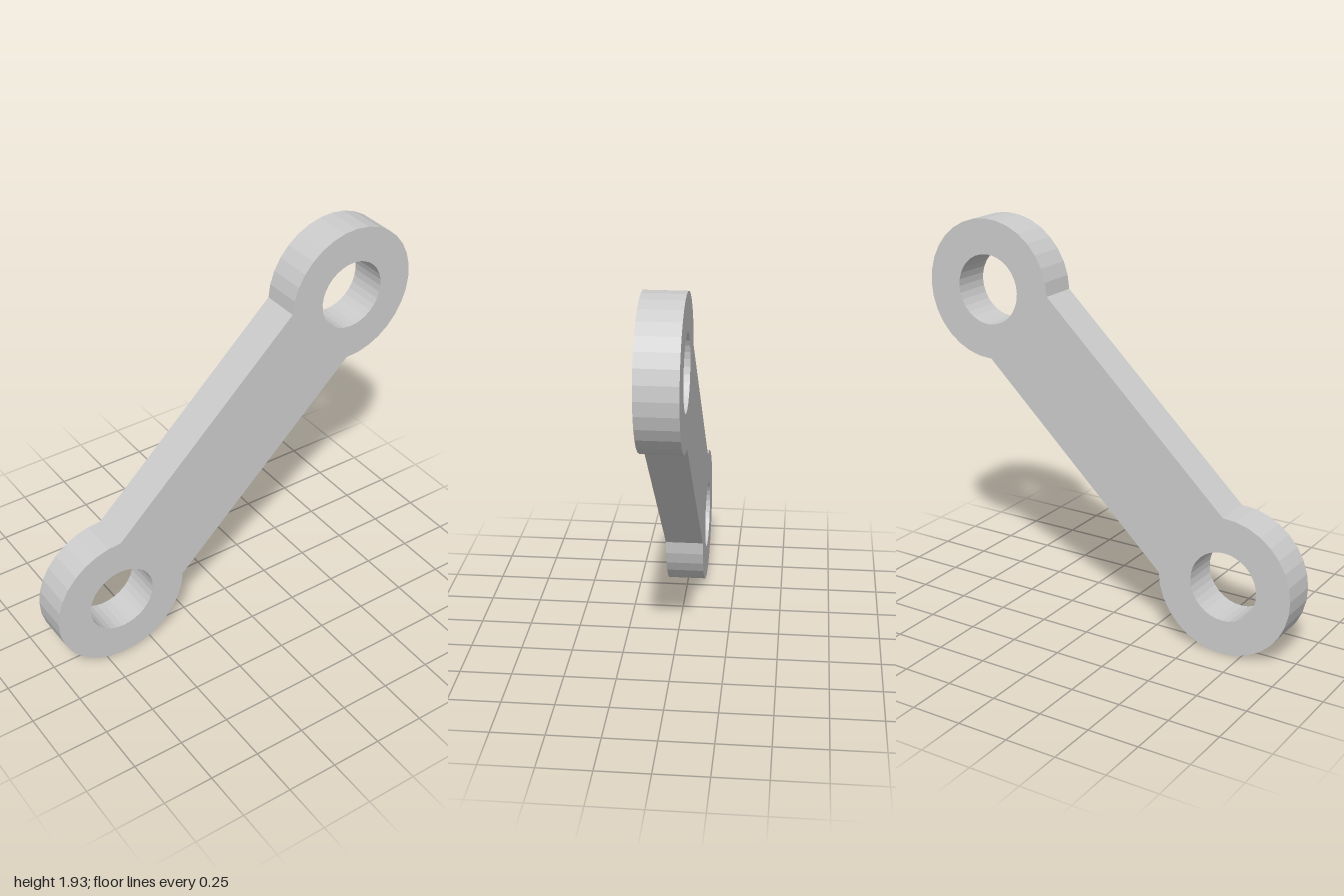
import * as THREE from 'three';

const EYE_X = 0.656, LOW_Y = 0.344, HIGH_Y = 1.585;
const OUTER_R = 0.344, HOLE_R = 0.172, THICKNESS = 0.19;

// Points along an arc, counter-clockwise
function arcPoints(x, y, radius, start, sweep, segments) {
  const points = [];
  for (let i = 0; i <= segments; i++) {
    const a = start + (sweep * i) / segments;
    points.push(new THREE.Vector2(x + radius * Math.cos(a), y + radius * Math.sin(a)));
  }
  return points;
}

export function createModel() {
  const group = new THREE.Group();
  group.name = 'linkArm';

  // Outline: two three-quarter round eyes joined by the straight bar
  const tilt = Math.atan2(HIGH_Y - LOW_Y, 2 * EYE_X);
  const sweep = Math.PI * 1.5;
  const shape = new THREE.Shape([
    ...arcPoints(EYE_X, HIGH_Y, OUTER_R, tilt - sweep / 2, sweep, 24),
    ...arcPoints(-EYE_X, LOW_Y, OUTER_R, tilt + Math.PI - sweep / 2, sweep, 24),
  ]);

  // Round hole through each eye
  for (const [x, y] of [[EYE_X, HIGH_Y], [-EYE_X, LOW_Y]]) {
    const points = arcPoints(x, y, HOLE_R, tilt, Math.PI * 2, 32);
    points.pop();
    shape.holes.push(new THREE.Path(points));
  }

  // Flat plate, centred in depth
  const geometry = new THREE.ExtrudeGeometry(shape, { depth: THICKNESS, bevelEnabled: false });
  geometry.translate(0, 0, -THICKNESS / 2);
  const plate = new THREE.Mesh(
    geometry,
    new THREE.MeshStandardMaterial({ color: 0xcccccc, flatShading: true })
  );
  plate.name = 'linkPlate';
  group.add(plate);
  return group;
}
